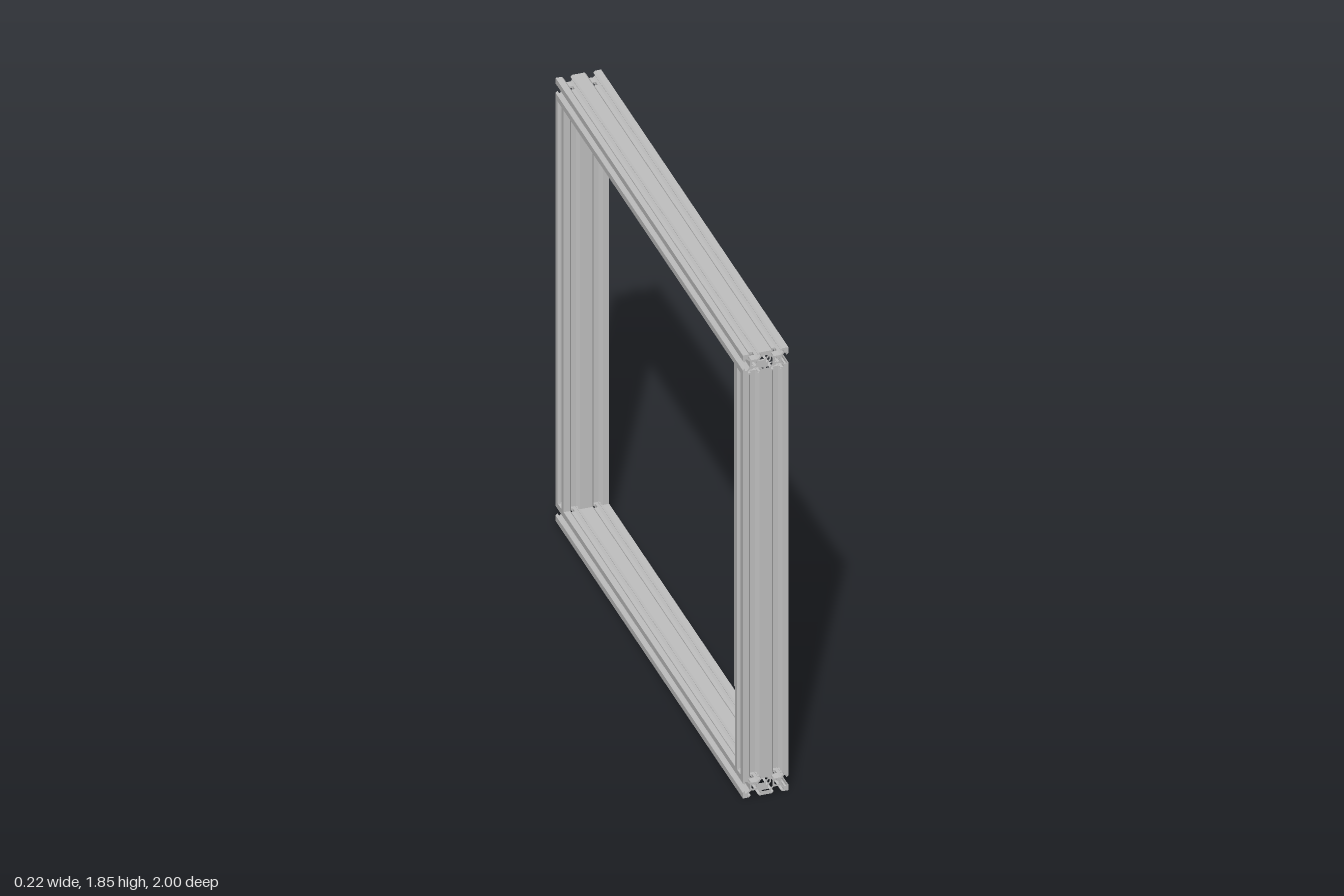
import * as THREE from 'three';

const U = 0.0043;            // one profile unit; the rail is 40 x 20 units
const S = 20 * U;            // rail height
const CX = -0.0215;          // frame centre in x
const TOP = 1.85;
const DRILL_Z = 1 - S / 2;   // drilled holes line up with the upright bores

// One quarter of the double slotted section: either side of the top slot
const INNER = [[5.42, 10], [6.9, 8.52], [6.9, 8.2], [4.5, 8.2], [4.5, 6.56], [7.16, 3.9]];
const OUTER = [[12.84, 3.9], [15.5, 6.56], [15.5, 8.2], [13.1, 8.2], [13.1, 8.52], [14.58, 10],
  [20, 10], [20, 4.58], [18.52, 3.1], [18.2, 3.1], [18.2, 5.5], [16.56, 5.5], [13.9, 2.84]];
const CHAMBER = [[2.74, 6.2], [6.1, 2.84]];
// Half of the small channel section, opening towards +x
const CHANNEL = [[0, 10], [10, 10], [10, 4.58], [8.52, 3.1], [8.2, 3.1], [8.2, 5.5], [4.2, 5.5], [2.8, 4.1]];

const mirrorY = (pts) => [...pts, ...pts.map(([x, y]) => [x, -y]).reverse()];
const mirrorX = (pts) => [...pts, ...pts.map(([x, y]) => [-x, y]).reverse()];
const vectors = (pts) => pts.map(([x, y]) => new THREE.Vector2(x * U, y * U));
const shapeOf = (pts) => new THREE.Shape(vectors(pts));

function chamberHole() {
  return new THREE.Path(vectors(mirrorX(mirrorY(CHAMBER))));
}

// Complete section with centre chamber and two round bores
function fullSection() {
  const shape = shapeOf(mirrorX(mirrorY([...INNER, ...OUTER])));
  shape.holes.push(chamberHole());
  for (const s of [-1, 1]) {
    shape.holes.push(new THREE.Path().absarc(s * 10 * U, 0, 2.5 * U, 0, Math.PI * 2, true));
  }
  return [shape];
}

// Section where the vertical holes cut through both cores
function drilledSection() {
  const middle = shapeOf(mirrorX(mirrorY([...INNER, [7.5, 3.9]])));
  middle.holes.push(chamberHole());
  const side = mirrorY([[12.5, 3.9], ...OUTER]);
  return [middle, shapeOf(side), shapeOf(side.map(([x, y]) => [-x, y]))];
}

export function createModel() {
  const group = new THREE.Group();
  const aluminium = new THREE.MeshStandardMaterial({ color: 0xc0c0c0 });
  aluminium.name = 'aluminium';

  const extrude = (shapes, depth) =>
    new THREE.ExtrudeGeometry(shapes, { depth, bevelEnabled: false, curveSegments: 10 });
  function add(parent, name, geometry, x, y, z) {
    const mesh = new THREE.Mesh(geometry, aluminium);
    mesh.name = name;
    mesh.position.set(x, y, z);
    parent.add(mesh);
  }

  // Horizontal rails, split lengthwise around the drilled holes
  const r = 2.5 * U;
  const cuts = [-1, -DRILL_Z - r, -DRILL_Z + r, DRILL_Z - r, DRILL_Z + r, 1];
  for (const [name, y] of [['bottomRail', S / 2], ['topRail', TOP - S / 2]]) {
    const rail = new THREE.Group();
    rail.name = name;
    for (let i = 0; i < 5; i++) {
      const drilled = i % 2 === 1;
      const geometry = extrude(drilled ? drilledSection() : fullSection(), cuts[i + 1] - cuts[i]);
      add(rail, drilled ? 'drilledSegment' : 'railSegment', geometry, CX, y, cuts[i]);
    }
    group.add(rail);
  }

  // Uprights between the rails
  const upright = extrude(fullSection(), TOP - 2 * S).rotateX(-Math.PI / 2);
  add(group, 'frontUpright', upright, CX, S, DRILL_Z);
  add(group, 'backUpright', upright, CX, S, -DRILL_Z);

  // Slim channel standing against the side of the frame
  const channel = extrude(shapeOf(mirrorY(CHANNEL)), 1.65).rotateX(-Math.PI / 2);
  add(group, 'sideChannel', channel, CX + S, 0.1, 0.464);

  return group;
}
